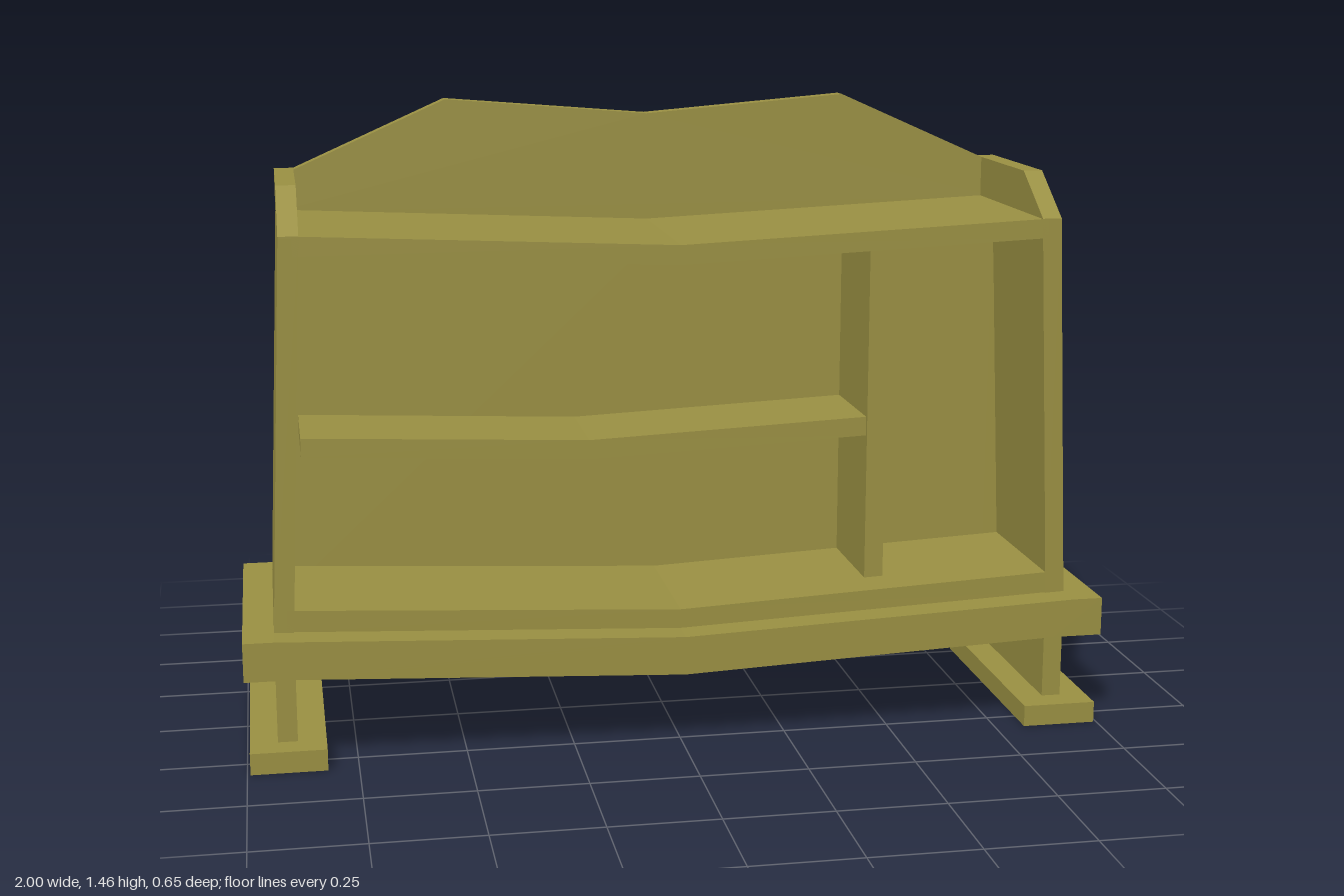
import * as THREE from 'three';

const material = new THREE.MeshStandardMaterial({ color: 0x998f42, flatShading: true });

// Outline in the front plane, extruded from z0 to z1.
function slab(name, points, z0, z1) {
  const shape = new THREE.Shape(points.map(([x, y]) => new THREE.Vector2(x, y)));
  const geometry = new THREE.ExtrudeGeometry(shape, { depth: z1 - z0, bevelEnabled: false });
  geometry.translate(0, 0, z0);
  const mesh = new THREE.Mesh(geometry, material);
  mesh.name = name;
  return mesh;
}

// Board that dips in the middle: top and bottom are [left/right edge height, centre height].
function sagBoard(name, x0, x1, top, bottom, z0, z1) {
  const mid = (x0 + x1) / 2;
  return slab(name, [
    [x0, bottom[0]], [mid, bottom[1]], [x1, bottom[0]],
    [x1, top[0]], [mid, top[1]], [x0, top[0]],
  ], z0, z1);
}

function box(name, x0, x1, y0, y1, z0, z1) {
  const mesh = new THREE.Mesh(new THREE.BoxGeometry(x1 - x0, y1 - y0, z1 - z0), material);
  mesh.position.set((x0 + x1) / 2, (y0 + y1) / 2, (z0 + z1) / 2);
  mesh.name = name;
  return mesh;
}

// Upright end of a side panel: a (z, y) outline, given thickness in x.
function sideTop(s) {
  const shape = new THREE.Shape([[0.255, 1.2], [0.255, 1.205], [0.11, 1.3], [-0.21, 1.3], [-0.21, 1.2]]
    .map(([z, y]) => new THREE.Vector2(-z, y)));
  const geometry = new THREE.ExtrudeGeometry(shape, { depth: 0.045, bevelEnabled: false });
  geometry.rotateY(Math.PI / 2);
  geometry.translate(s > 0 ? 0.845 : -0.89, 0, 0);
  const mesh = new THREE.Mesh(geometry, material);
  mesh.name = 'sideTop';
  return mesh;
}

export function createModel() {
  const model = new THREE.Group();
  model.name = 'bookcase';

  // Plinth with a gently bowed underside
  model.add(slab('plinth', [
    [-1, 0.22], [-0.885, 0.22], [0, 0.18], [0.885, 0.22], [1, 0.22],
    [1, 0.31], [0.93, 0.31], [0, 0.27], [-0.93, 0.31], [-1, 0.31],
  ], -0.325, 0.325));

  // Back board with a double-peaked crest
  model.add(slab('backBoard', [
    [-0.93, 0.3], [0, 0.265], [0.93, 0.3], [0.89, 1.2], [0.89, 1.3], [0.845, 1.3],
    [0.485, 1.46], [0, 1.42], [-0.485, 1.46], [-0.845, 1.3], [-0.89, 1.3], [-0.89, 1.2],
  ], -0.255, -0.21));

  // Inner back wall of the compartments
  model.add(sagBoard('innerBack', -0.845, 0.845, [1.17, 1.13], [0.34, 0.3], -0.21, -0.11));
  for (const s of [-1, 1]) {
    model.add(slab('innerBackEdge', s > 0
      ? [[0.845, 0.34], [0.89, 0.34], [0.845, 1.17]]
      : [[-0.845, 0.34], [-0.845, 1.17], [-0.89, 0.34]], -0.21, -0.11));
  }

  // Boards and upright divider
  model.add(sagBoard('bottomBoard', -0.9, 0.9, [0.36, 0.315], [0.31, 0.27], -0.21, 0.255));
  model.add(sagBoard('topBoard', -0.86, 0.86, [1.205, 1.165], [1.16, 1.12], -0.21, 0.255));
  model.add(sagBoard('middleShelf', -0.855, 0.465, [0.73, 0.7], [0.685, 0.655], -0.11, 0.145));
  model.add(box('divider', 0.465, 0.51, 0.335, 1.15, -0.11, 0.155));

  // Leaning sides, legs and feet
  for (const s of [-1, 1]) {
    const side = new THREE.Group();
    side.name = s > 0 ? 'leftSide' : 'rightSide';
    const lean = [[0.885, 0.3], [0.93, 0.3], [0.89, 1.2], [0.845, 1.2]];
    side.add(slab('sidePanel', lean.map(([x, y]) => [s * x, y]), -0.21, 0.255));
    side.add(sideTop(s));
    const span = (a, b) => (s > 0 ? [a, b] : [-b, -a]);
    side.add(box('leg', ...span(0.885, 0.93), 0.05, 0.23, -0.205, 0.255));
    side.add(box('foot', ...span(0.82, 0.993), 0, 0.05, -0.27, 0.32));
    model.add(side);
  }
  return model;
}
